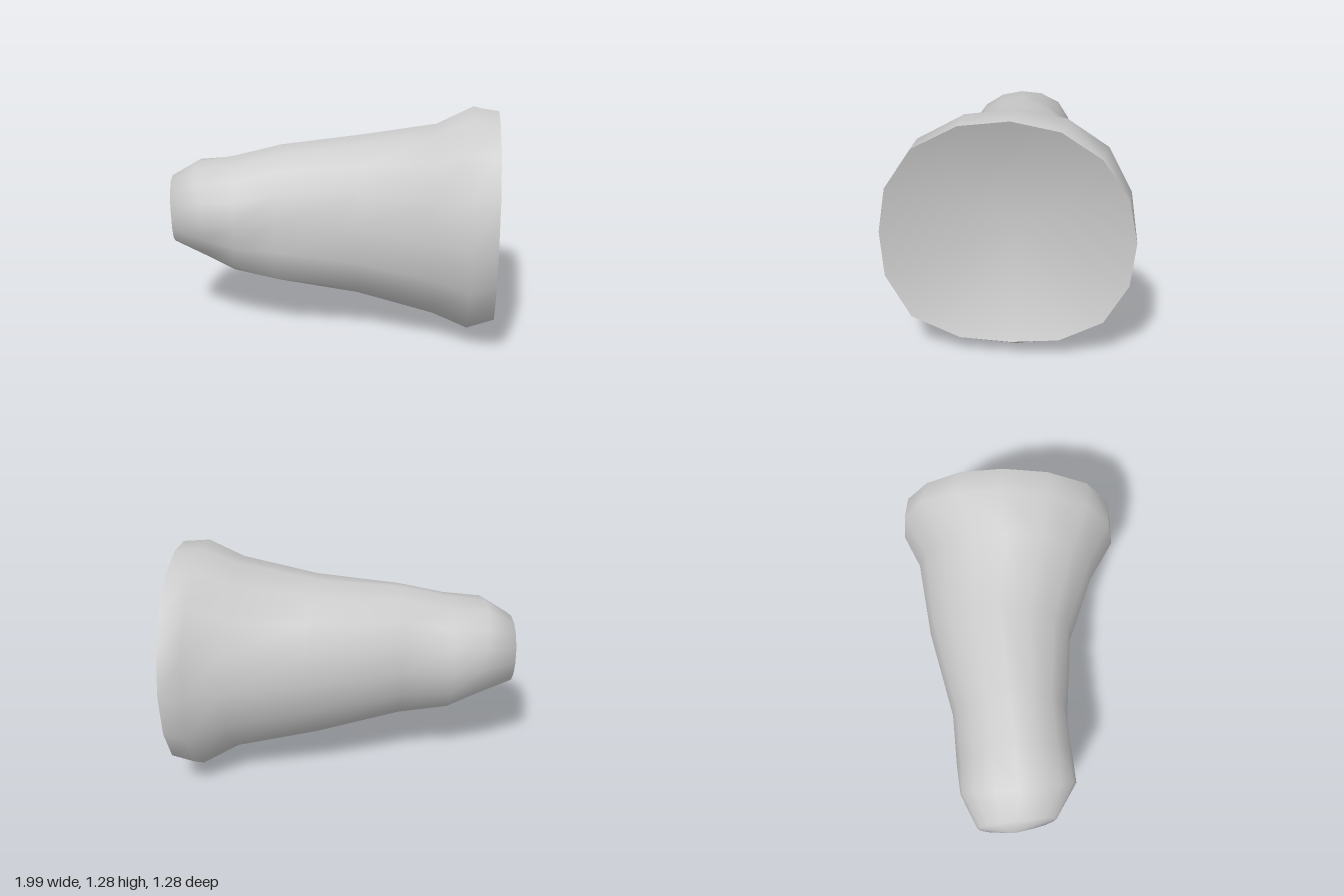
import * as THREE from 'three';

const SIDES = 16;

// Rings from the narrow end to the flared rim.
// at: where the ring meets the back, front, top and bottom
//     [xBack, zBack, xFront, zFront, xTop, yTop, xBottom, yBottom]
// bulge: outward swell of the corners [lowerFront, lowerBack, upperFront, upperBack]
// skew: shift of top and bottom along z
const RINGS = [
  { at: [-0.965, -0.27, -0.935, 0.17, -0.97, 0.85, -0.96, 0.455], bulge: [0, 0, 0, 0], skew: 0 },
  { at: [-0.77, -0.355, -0.74, 0.295, -0.82, 0.94, -0.75, 0.375], bulge: [0, 0, 0, 0.02], skew: 0 },
  { at: [-0.60, -0.37, -0.55, 0.285, -0.60, 0.975, -0.60, 0.30], bulge: [0.025, 0, 0, -0.01], skew: 0 },
  { at: [-0.31, -0.38, -0.32, 0.27, -0.32, 1.045, -0.32, 0.27], bulge: [0.09, 0, 0, -0.01], skew: 0 },
  { at: [0.21, -0.495, 0.14, 0.33, 0.15, 1.105, 0.15, 0.18], bulge: [0.055, 0, 0.02, -0.01], skew: 0 },
  { at: [0.67, -0.55, 0.56, 0.505, 0.58, 1.185, 0.60, 0.08], bulge: [0.025, 0, 0.02, -0.025], skew: 0 },
  { at: [0.87, -0.638, 0.75, 0.637, 0.78, 1.28, 0.80, 0.0], bulge: [0.03, 0.01, 0.03, 0.025], skew: -0.045 },
  { at: [0.99, -0.632, 0.89, 0.637, 0.93, 1.262, 0.93, 0.083], bulge: [0.07, 0.04, 0.03, 0], skew: -0.02 },
];

// Slightly tilted, uneven oval
function ringPoints({ at: [xb, zb, xf, zf, xt, yt, xl, yl], bulge, skew }) {
  const points = [];
  const xc = (xb + xf + xt + xl) / 4;
  for (let i = 0; i < SIDES; i++) {
    const a = (i / SIDES) * Math.PI * 2;
    const c = Math.cos(a), s = Math.sin(a);
    const swell = Math.sin(2 * a) ** 2 * bulge[(c > 0 ? 2 : 0) + (s > 0 ? 0 : 1)];
    points.push(new THREE.Vector3(
      xc + ((xt - xl) / 2) * c + ((xf - xb) / 2) * s + ((xt + xl - xf - xb) / 4) * Math.cos(2 * a),
      (yt + yl) / 2 + ((yt - yl) / 2 + swell) * c,
      (zf + zb) / 2 + ((zf - zb) / 2 + swell) * s + skew * c * c
    ));
  }
  return points;
}

function buildGeometry(points, index) {
  const geometry = new THREE.BufferGeometry().setFromPoints(points);
  geometry.setIndex(index);
  geometry.computeVertexNormals();
  return geometry;
}

export function createModel() {
  const group = new THREE.Group();
  group.name = 'taperedSleeve';
  const material = new THREE.MeshStandardMaterial({ color: 0xcccccc, side: THREE.DoubleSide });
  const add = (name, geometry) => {
    const mesh = new THREE.Mesh(geometry, material);
    mesh.name = name;
    group.add(mesh);
  };
  const rings = RINGS.map(ringPoints);

  // Outer wall, closed by a shallow point at the narrow end
  const points = rings.flat();
  const tip = points.push(new THREE.Vector3(-1, 0.65, -0.07)) - 1;
  const index = [];
  for (let i = 0; i < SIDES; i++) {
    const j = (i + 1) % SIDES;
    for (let r = 0; r < rings.length - 1; r++) {
      const a = r * SIDES + i, b = r * SIDES + j;
      index.push(a, b, a + SIDES, b, b + SIDES, a + SIDES);
    }
    index.push(tip, j, i);
  }
  add('sleeveBody', buildGeometry(points, index));

  // Hollow inside the flared rim
  const rim = rings[rings.length - 1];
  const hollow = [...rim, new THREE.Vector3(0.71, 0.66, -0.04)];
  const hollowIndex = [];
  for (let i = 0; i < SIDES; i++) hollowIndex.push(SIDES, i, (i + 1) % SIDES);
  add('rimHollow', buildGeometry(hollow, hollowIndex));

  return group;
}
